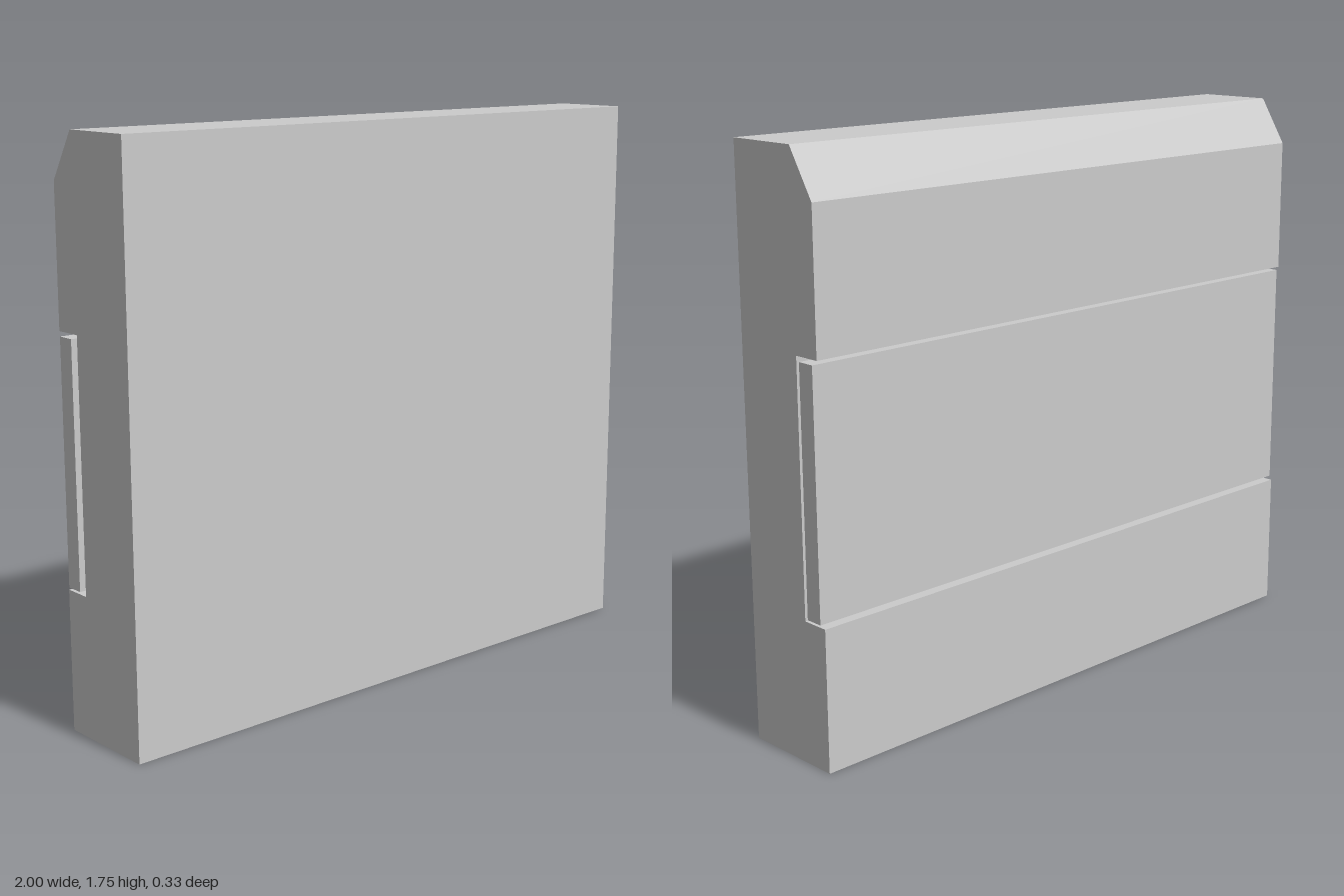
import * as THREE from 'three';

export function createModel() {
  const group = new THREE.Group();
  const material = new THREE.MeshStandardMaterial({ color: 0xcccccc, flatShading: true });

  // Slab: side profile (z, y) with a bevelled top back edge and a shallow slot in the back
  const profile = [
    [0.166, 0], [0.166, 1.753], [-0.077, 1.753], [-0.165, 1.61],
    [-0.165, 1.19], [-0.077, 1.19], [-0.077, 0.432], [-0.165, 0.432], [-0.165, 0],
  ];
  const width = 1.987;
  const shape = new THREE.Shape(profile.map(([z, y]) => new THREE.Vector2(-z, y)));
  const slabGeometry = new THREE.ExtrudeGeometry(shape, { depth: width, bevelEnabled: false });
  slabGeometry.translate(0, 0, -width / 2).rotateY(Math.PI / 2);
  const slab = new THREE.Mesh(slabGeometry, material);
  slab.name = 'slab';
  group.add(slab);

  // Thin panel floating in the slot, slightly wider than the slab
  const panel = new THREE.Mesh(new THREE.BoxGeometry(2, 0.734, 0.056), material);
  panel.name = 'backPanel';
  panel.position.set(0, 0.81, -0.125);
  group.add(panel);

  return group;
}
